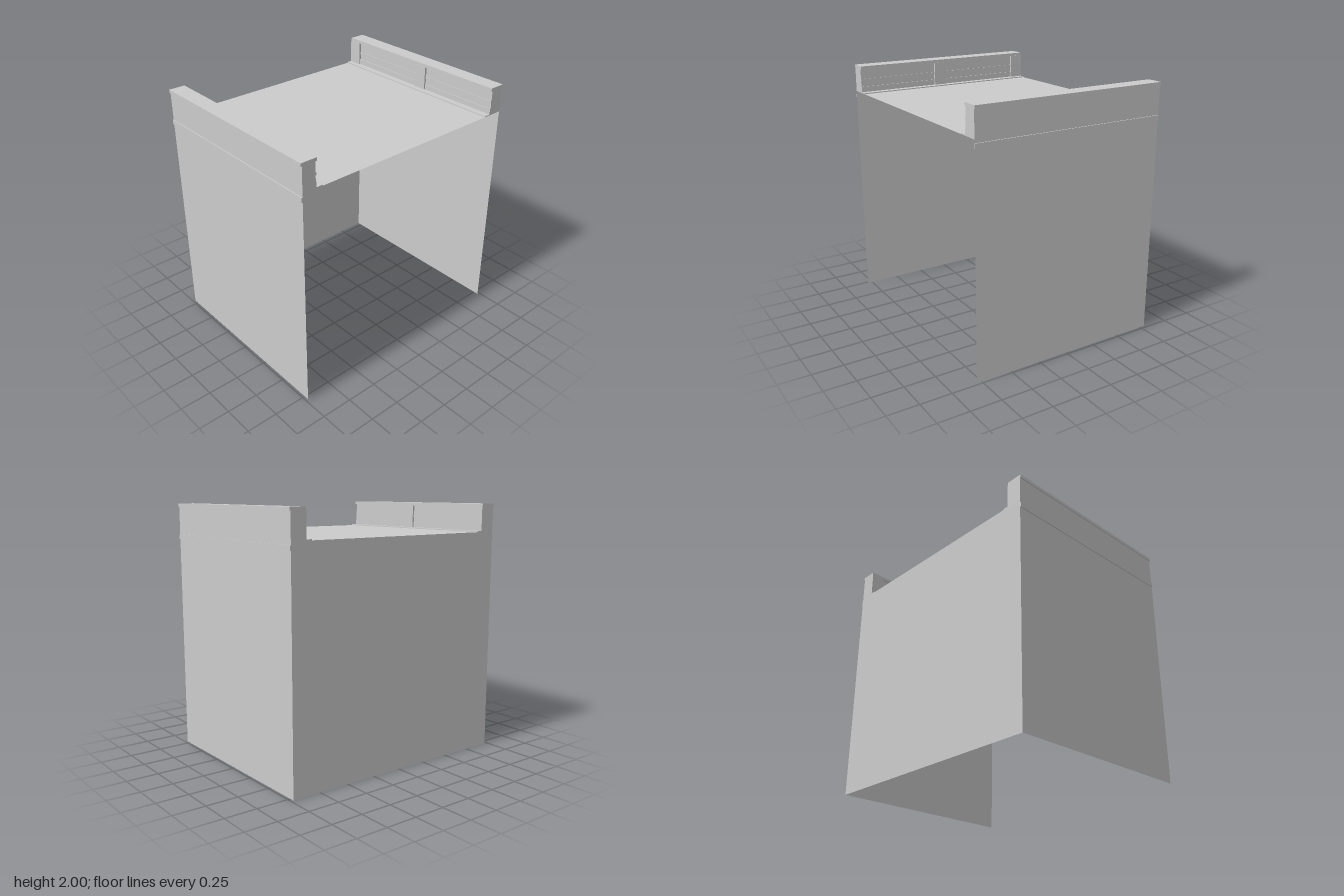
import * as THREE from 'three';

const LENGTH = 1.58, HALF = LENGTH / 2, DECK = 1.778, SIDE = 0.98;

export function createModel() {
  const group = new THREE.Group();
  const solid = new THREE.MeshStandardMaterial({ color: 0xcccccc, flatShading: true });
  const sheet = new THREE.MeshStandardMaterial({ color: 0xcccccc, flatShading: true, side: THREE.DoubleSide });

  // Box given by its limits on each axis; s mirrors it across x
  function block(name, s, x0, x1, y0, y1, z0 = -HALF, z1 = HALF) {
    const mesh = new THREE.Mesh(new THREE.BoxGeometry(x1 - x0, y1 - y0, z1 - z0), solid);
    mesh.position.set(s * (x0 + x1) / 2, (y0 + y1) / 2, (z0 + z1) / 2);
    mesh.name = name;
    group.add(mesh);
  }

  // Thin panel, open on both sides
  function panel(name, w, h, pos, rx, ry) {
    const mesh = new THREE.Mesh(new THREE.PlaneGeometry(w, h), sheet);
    mesh.position.set(...pos);
    mesh.rotation.set(rx, ry, 0);
    mesh.name = name;
    group.add(mesh);
  }

  // Deck and back wall; the front and bottom stay open
  panel('deck', SIDE * 2, LENGTH, [0, DECK, 0], -Math.PI / 2, 0);
  panel('backWall', SIDE * 2, DECK, [0, DECK / 2, -HALF], 0, Math.PI);

  for (const s of [1, -1]) {
    const side = s > 0 ? 'left' : 'right';
    panel(side + 'Wall', LENGTH, DECK, [s * SIDE, DECK / 2, 0], 0, s * Math.PI / 2);

    // Parapet with overhanging coping and outer string course
    block(side + 'Parapet', s, 0.87, SIDE, DECK, 1.975);
    block(side + 'Coping', s, 0.857, 0.988, 1.975, 2);
    block(side + 'StringCourse', s, SIDE, 0.988, 1.715, 1.753);

    // Kerb and horizontal rails on the inner face
    block(side + 'Kerb', s, 0.81, 0.87, DECK, 1.786);
    block(side + 'Plinth', s, 0.863, 0.87, 1.786, 1.83);
    block(side + 'MiddleRail', s, 0.865, 0.87, 1.875, 1.895);

    // Inner pilasters at the back end and halfway along
    for (const z of [-HALF, 0]) {
      block(side + 'Pilaster', s, 0.853, 0.87, 1.786, 1.975, z, z + 0.11);
    }
  }
  return group;
}
